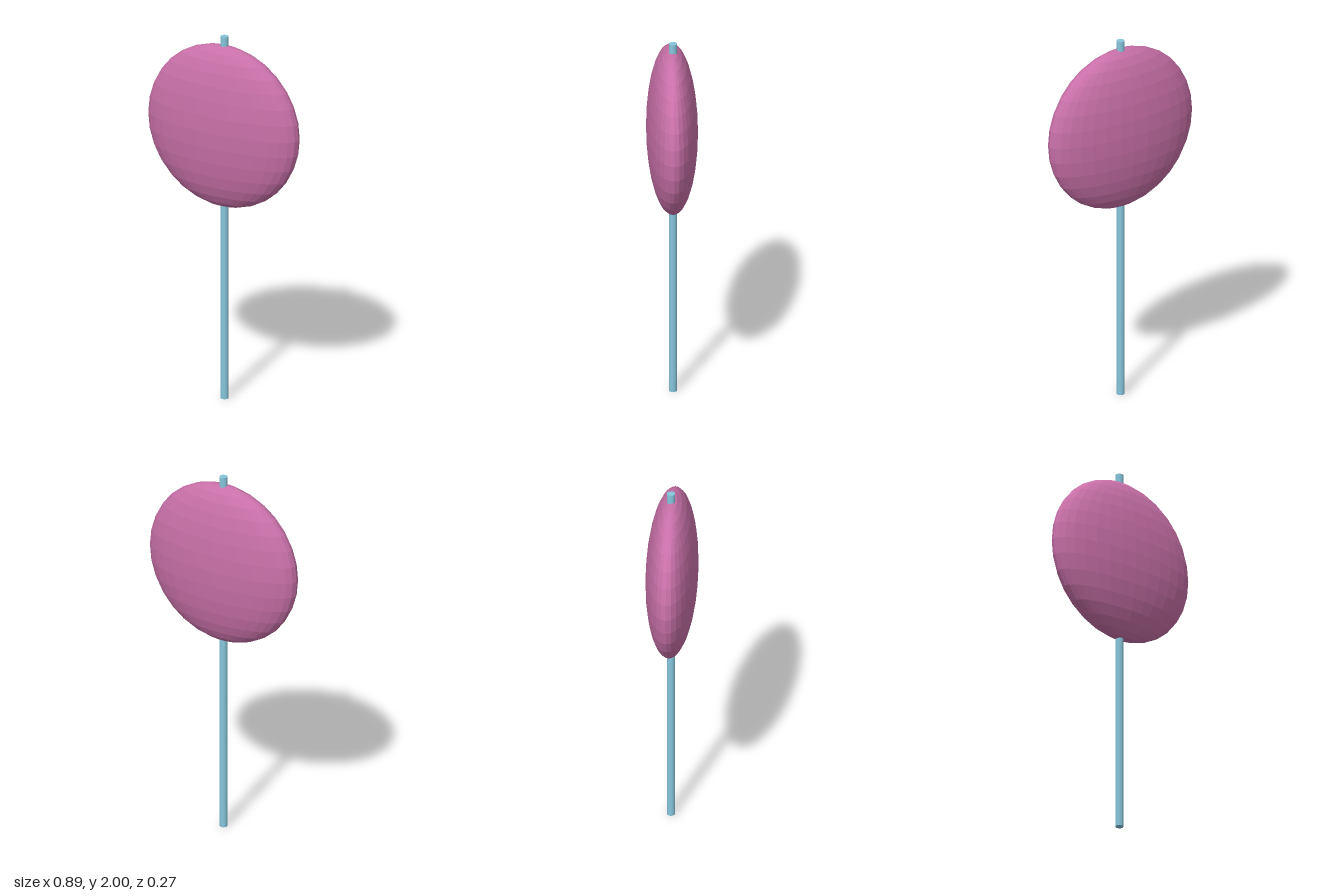
import * as THREE from 'three';

export function createModel() {
  const group = new THREE.Group();

  // Flattened candy disc, poles along the stick
  const candy = new THREE.Mesh(
    new THREE.SphereGeometry(0.445, 32, 16),
    new THREE.MeshStandardMaterial({ color: 0xc870a8, flatShading: true })
  );
  candy.name = 'candy';
  candy.scale.z = 0.3;
  candy.position.y = 1.508;
  group.add(candy);

  // Thin stick running right through the candy
  const stick = new THREE.Mesh(
    new THREE.CylinderGeometry(0.021, 0.021, 2, 32),
    new THREE.MeshStandardMaterial({ color: 0x87c5dc })
  );
  stick.name = 'stick';
  stick.position.set(0, 1, -0.005);
  group.add(stick);

  return group;
}
